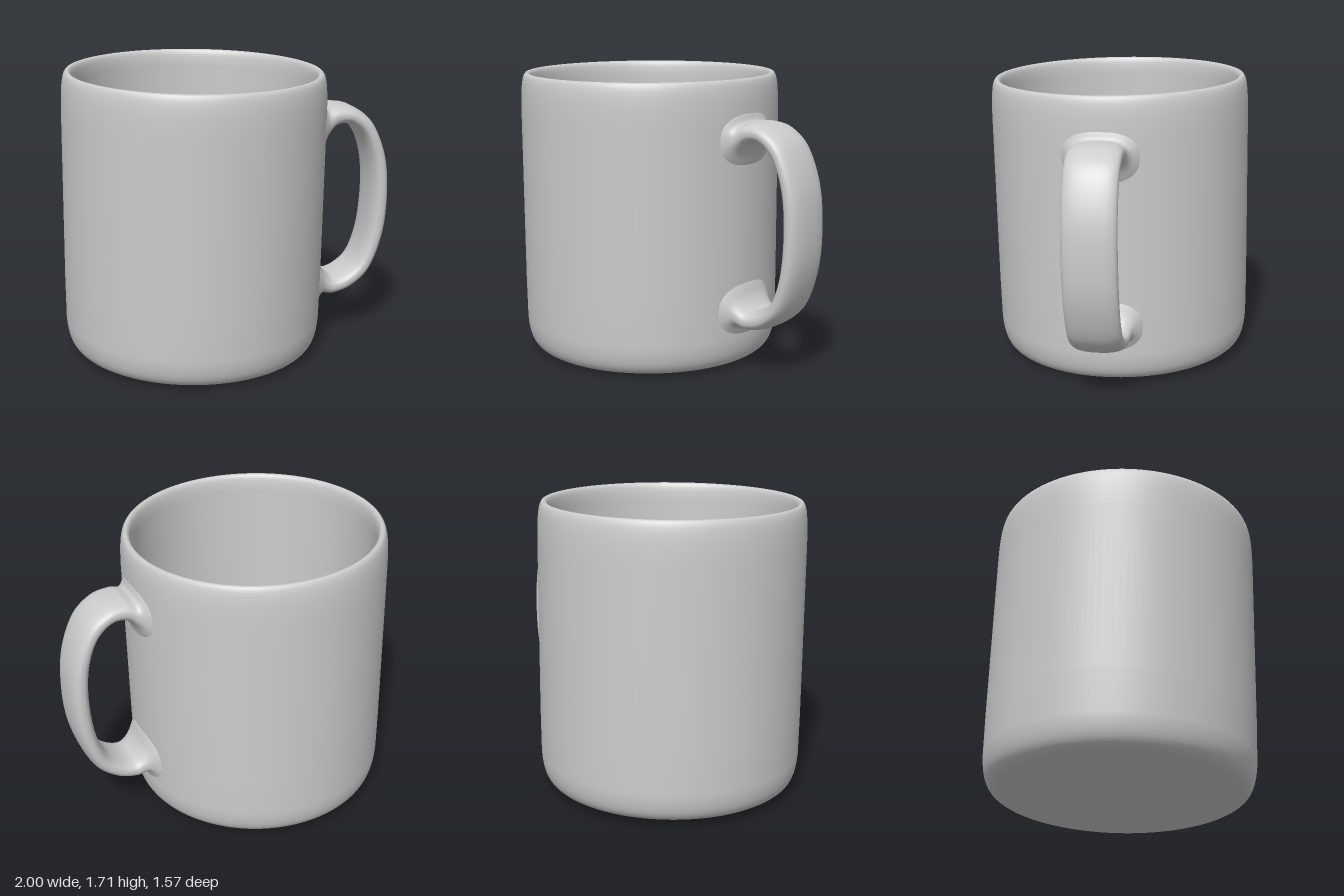
import * as THREE from 'three';

const material = new THREE.MeshStandardMaterial({ color: 0xcccccc, side: THREE.DoubleSide });
const AXIS_X = -0.218, MID_Y = 0.857, RADIUS = 0.775;

// Cup: one closed profile, from under the base, over the rim, to the inner floor
function createCup() {
  const p = new THREE.Path();
  p.moveTo(0, 0.016);
  p.lineTo(0.63, 0.016);
  p.bezierCurveTo(0.72, 0.018, 0.762, 0.04, 0.772, 0.2);
  p.lineTo(RADIUS, 0.45);
  p.lineTo(RADIUS, 1.45);
  p.bezierCurveTo(RADIUS, 1.6, 0.768, 1.7, 0.738, 1.7);
  p.bezierCurveTo(0.715, 1.7, 0.708, 1.67, 0.706, 1.6);
  p.lineTo(0.706, 0.24);
  p.bezierCurveTo(0.705, 0.13, 0.67, 0.095, 0.57, 0.09);
  p.lineTo(0, 0.09);
  const cup = new THREE.Mesh(new THREE.LatheGeometry(p.getPoints(12), 128), material);
  cup.name = 'cup';
  cup.position.y = -MID_Y;
  return cup;
}

// Handle: rounded sections between an inner and an outer edge, flared into the wall
function createHandle() {
  // inner x, inner y, outer x, outer y, half width, wrap around the wall
  const stations = [
    [0.52, 1.15, 0.52, 1.59, 0.27, 1],
    [0.555, 1.21, 0.555, 1.51, 0.222, 1],
    [0.585, 1.285, 0.58, 1.463, 0.175, 0.4],
    [0.64, 1.345, 0.645, 1.472, 0.157, 0],
    [0.73, 1.347, 0.757, 1.452, 0.154, 0],
    [0.815, 1.262, 0.88, 1.357, 0.153, 0],
    [0.867, 1.11, 0.971, 1.15, 0.153, 0],
    [0.885, 0.91, 1.0, 0.91, 0.153, 0],
    [0.867, 0.66, 0.983, 0.66, 0.153, 0],
    [0.815, 0.492, 0.9, 0.422, 0.153, 0],
    [0.735, 0.412, 0.777, 0.307, 0.154, 0],
    [0.65, 0.387, 0.655, 0.267, 0.157, 0],
    [0.592, 0.44, 0.583, 0.273, 0.175, 0.4],
    [0.558, 0.52, 0.556, 0.225, 0.222, 1],
    [0.52, 0.58, 0.52, 0.15, 0.27, 1],
  ];
  const curve = (a, b, c) => new THREE.CatmullRomCurve3(
    stations.map(s => new THREE.Vector3(s[a], s[b], s[c])), false, 'catmullrom');
  const inner = curve(0, 1, 4), outer = curve(2, 3, 5);
  const rings = 112, sides = 40, pos = [], index = [];
  const round = v => Math.sign(v) * Math.pow(Math.abs(v), 0.8);
  for (let i = 0; i <= rings; i++) {
    const a = inner.getPoint(i / rings), b = outer.getPoint(i / rings);
    const wrap = THREE.MathUtils.clamp(b.z, 0, 1);
    for (let j = 0; j < sides; j++) {
      const t = j / sides * Math.PI * 2;
      const k = (1 + round(Math.cos(t))) / 2, z = a.z * round(Math.sin(t));
      const sag = wrap * (RADIUS - Math.sqrt(RADIUS * RADIUS - z * z));
      pos.push(a.x + (b.x - a.x) * k - sag - AXIS_X, a.y + (b.y - a.y) * k - MID_Y, z);
      if (i < rings) {
        const p = i * sides + j, q = i * sides + (j + 1) % sides;
        index.push(p, q, p + sides, q, q + sides, p + sides);
      }
    }
  }
  const geometry = new THREE.BufferGeometry();
  geometry.setAttribute('position', new THREE.Float32BufferAttribute(pos, 3));
  geometry.setIndex(index);
  geometry.computeVertexNormals();
  const handle = new THREE.Mesh(geometry, material);
  handle.name = 'handle';
  handle.rotation.y = 0.017;
  return handle;
}

export function createModel() {
  const mug = new THREE.Group();
  mug.name = 'mug';
  mug.add(createCup(), createHandle());
  // The mug leans very slightly
  mug.position.set(AXIS_X, MID_Y, 0);
  mug.rotation.set(0.018, 0, -0.013);
  const model = new THREE.Group();
  model.add(mug);
  return model;
}
